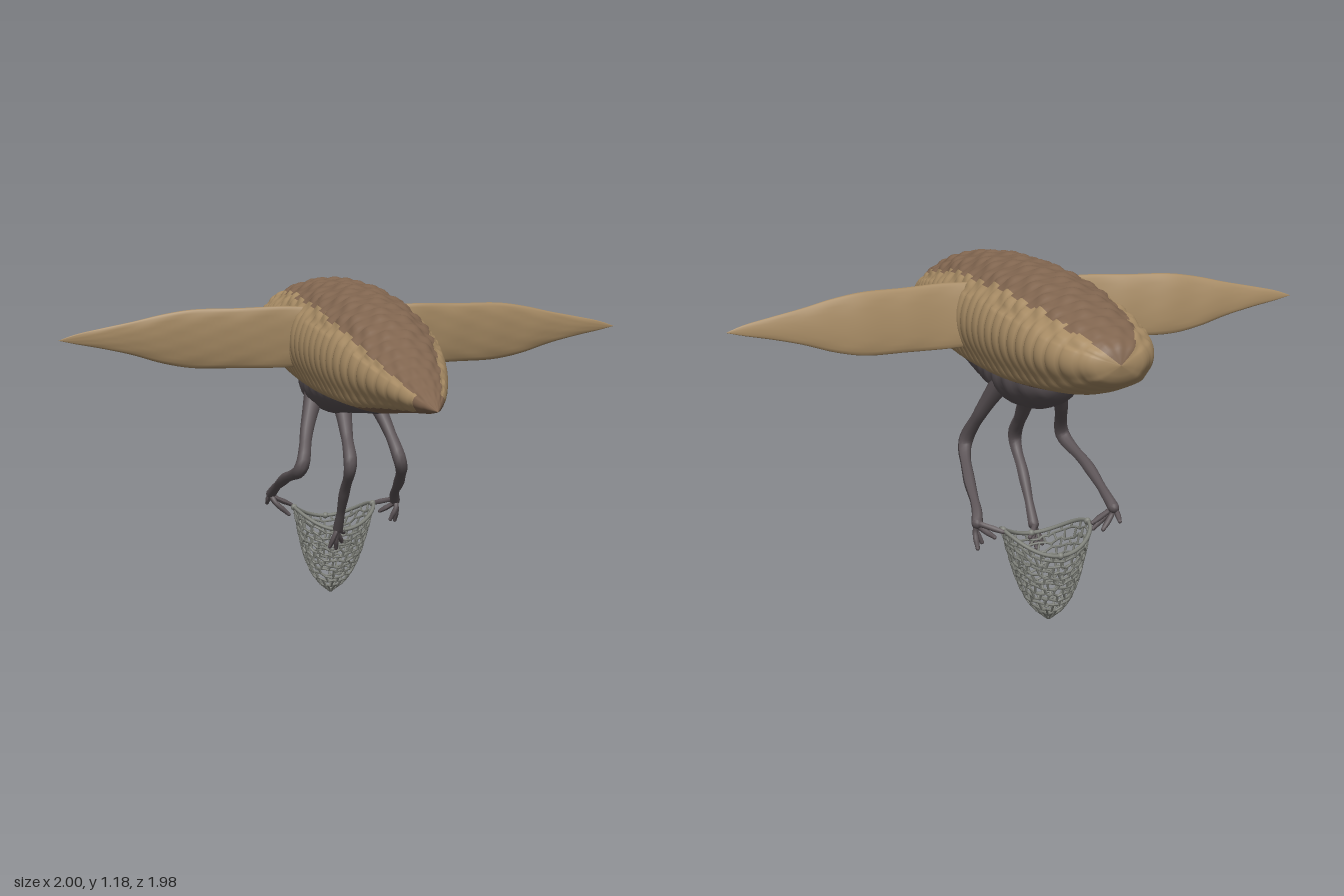
import * as THREE from 'three';
import { mergeGeometries } from 'three/addons/utils/BufferGeometryUtils.js';

const mat = (name, color, extra = {}) => Object.assign(new THREE.MeshStandardMaterial({ color, ...extra }), { name });
const V = (x, y, z) => new THREE.Vector3(x, y, z);

// Smooth table lookup: rows of [position, ...values], positions ascending
function table(rows) {
  const n = rows[0].length - 1;
  const interp = new THREE.CubicInterpolant(rows.map(r => r[0]), rows.flatMap(r => r.slice(1)), n, new Array(n));
  return p => Array.from(interp.evaluate(p));
}

// Skin closed rings of points; pick(i, j) chooses a material index per quad
function loft(rings, flip = false, pick = () => 0) {
  const n = rings[0].length, faces = [[], []];
  for (let i = 0; i < rings.length - 1; i++) {
    for (let j = 0; j < n; j++) {
      const a = i * n + j, c = i * n + (j + 1) % n, b = a + n, d = c + n;
      faces[pick(i, j)].push(...(flip ? [a, c, b, b, c, d] : [a, b, c, b, d, c]));
    }
  }
  const geo = new THREE.BufferGeometry().setFromPoints(rings.flat());
  geo.setIndex([...faces[0], ...faces[1]]);
  geo.addGroup(0, faces[0].length, 0);
  geo.addGroup(faces[0].length, faces[1].length, 1);
  geo.computeVertexNormals();
  return geo;
}

// Tube through points whose radius follows a list, with rounded ends
function limb(points, radii, steps = 24, sides = 10) {
  const curve = new THREE.CatmullRomCurve3(points, false, 'centripetal');
  const geo = new THREE.TubeGeometry(curve, steps, 1, sides, false);
  const pos = geo.attributes.position, p = V(0, 0, 0);
  for (let i = 0; i <= steps; i++) {
    const u = i / steps, c = curve.getPointAt(u), k = u * (radii.length - 1);
    const a = Math.min(Math.floor(k), radii.length - 2);
    const r = THREE.MathUtils.lerp(radii[a], radii[a + 1], k - a);
    for (let j = 0; j <= sides; j++) {
      const id = i * (sides + 1) + j;
      p.fromBufferAttribute(pos, id).sub(c).multiplyScalar(r).add(c);
      pos.setXYZ(id, p.x, p.y, p.z);
    }
  }
  geo.computeVertexNormals();
  const ball = (c, r) => new THREE.SphereGeometry(r, 10, 8).translate(c.x, c.y, c.z);
  return mergeGeometries([geo, ball(points[0], radii[0]), ball(points.at(-1), radii.at(-1))]);
}

// Armoured body: 33 plated segments, pitted on the back
function bodyGeometry() {
  // z, centre height, half height, half width
  const shape = table([
    [-0.99, 0.98, 0, 0], [-0.98, 0.98, 0.035, 0.055], [-0.95, 0.98, 0.065, 0.1], [-0.9, 0.98, 0.087, 0.138],
    [-0.8, 0.98, 0.118, 0.175], [-0.6, 0.983, 0.155, 0.2], [-0.4, 0.982, 0.18, 0.213], [-0.2, 0.979, 0.19, 0.213],
    [0, 0.975, 0.19, 0.208], [0.2, 0.968, 0.178, 0.195], [0.4, 0.955, 0.153, 0.173], [0.6, 0.935, 0.105, 0.135],
    [0.8, 0.908, 0.054, 0.078], [0.9, 0.893, 0.028, 0.04], [0.985, 0.88, 0, 0],
  ]);
  const segments = 33, per = 7, sides = 96, rings = [];
  for (let i = 0; i <= segments * per; i++) {
    const t = i / (segments * per), z = 0.985 - 1.975 * t;
    const [cy, hy, hx] = shape(z), f = (i % per) / per, s = Math.floor(i / per);
    const fade = THREE.MathUtils.clamp(hy / 0.14, 0, 1);
    rings.push(Array.from({ length: sides }, (_, j) => {
      const th = j / sides * Math.PI * 2, up = Math.sin(th);
      const bulge = Math.pow(Math.sin(Math.PI * f), 0.6);
      const stagger = Math.sin(th * 13 + (s % 2) * Math.PI + Math.sin(s * 2.3));
      let d = 0.011 * bulge;
      if (up > 0.45) d = 0.005 * bulge + 0.006 * stagger * Math.sin(Math.PI * f);
      else d += 0.01 * bulge * Math.exp(-Math.pow((up + 0.72) / 0.13, 2));
      d *= fade;
      return V(Math.cos(th) * (Math.max(hx, 0) + d), cy + up * (Math.max(hy, 0) + d), z);
    }));
  }
  const pick = (i, j) => {
    const t = i / (segments * per), up = Math.sin((j + 0.5) / sides * Math.PI * 2);
    const edge = 0.6 + 0.2 * t * t + 0.05 * (Math.floor(i / per) % 2);
    return up > edge || (up < -0.84 && t < 0.8) || t < 0.05 ? 1 : 0;
  };
  return loft(rings, false, pick);
}

// Upright paddle wing; side is +1 or -1
function wingGeometry(side) {
  // x, centre height, half height, centre z, half thickness
  const shape = table([
    [0.15, 0.99, 0.105, -0.112, 0.02], [0.25, 0.99, 0.108, -0.115, 0.015], [0.4, 0.988, 0.105, -0.13, 0.018],
    [0.55, 0.988, 0.102, -0.147, 0.018], [0.65, 0.99, 0.085, -0.152, 0.016], [0.75, 0.994, 0.058, -0.157, 0.012],
    [0.85, 0.996, 0.036, -0.161, 0.008], [0.95, 0.995, 0.015, -0.164, 0.004], [1, 0.992, 0, -0.165, 0],
  ]);
  const rings = [];
  for (let i = 0; i <= 48; i++) {
    const x = 0.15 + 0.85 * i / 48, [cy, hy, cz, hz] = shape(x);
    rings.push(Array.from({ length: 24 }, (_, j) => {
      const th = j / 24 * Math.PI * 2, up = Math.sin(th);
      const ripple = 0.12 * Math.sin(x * 38 + up * 5) * Math.cos(up * 6);
      return V(side * x, cy + up * hy, cz + Math.cos(th) * hz * (1 + ripple) + up * hy * 0.14);
    }));
  }
  return loft(rings, side < 0);
}

// Soft wrinkled belly under the body
function bellyGeometry() {
  // z, half width, depth below y = 0.82
  const shape = table([
    [-0.52, 0, 0], [-0.49, 0.06, 0.05], [-0.43, 0.1, 0.085], [-0.33, 0.135, 0.115], [-0.22, 0.145, 0.118],
    [-0.1, 0.14, 0.098], [0.05, 0.125, 0.078], [0.2, 0.11, 0.056], [0.35, 0.08, 0.036], [0.46, 0, 0],
  ]);
  const rings = [];
  for (let i = 0; i <= 60; i++) {
    const z = 0.46 - 0.98 * i / 60, [hx, hy] = shape(z);
    const wrinkle = 1 + 0.03 * Math.sin(i * 1.3);
    rings.push(Array.from({ length: 32 }, (_, j) => {
      const th = j / 32 * Math.PI * 2;
      return V(Math.cos(th) * hx * wrinkle, 0.82 + Math.sin(th) * hy * wrinkle, z);
    }));
  }
  return loft(rings);
}

// Net basket: irregular honeycomb of strands hung from a saddle-shaped rim
function basketGeometry() {
  let seed = 7;
  const rand = () => (seed = (seed * 16807) % 2147483647) / 2147483647 - 0.5;
  const cols = 44, rows = 12, coarse = 8, parts = [], nodes = [];
  const rimY = a => 0.262 + 0.065 * Math.cos(a) ** 2;
  const radius = table([[0, 0.012], [0.06, 0.035], [0.2, 0.068], [0.45, 0.1], [0.7, 0.12], [1, 0.14]]);
  const at = (a, h) => {
    const r = radius(h)[0];
    return V(0.012 * h + Math.cos(a) * r * 1.06, 0.012 + (rimY(a) - 0.012) * h, -0.415 + Math.sin(a) * r * 0.96);
  };
  for (let j = 0; j <= rows; j++) {
    const h = 1 - j / rows, jitter = j > 0 && j < rows ? 1 : 0;
    nodes.push(Array.from({ length: cols }, (_, i) =>
      at((i + jitter * rand() * 0.7) / cols * Math.PI * 2, h + jitter * rand() * 0.05)));
  }
  const strand = (p, q) => {
    const dir = q.clone().sub(p), len = dir.length();
    const g = new THREE.CylinderGeometry(0.0042, 0.0042, len + 0.004, 5);
    g.applyQuaternion(new THREE.Quaternion().setFromUnitVectors(V(0, 1, 0), dir.normalize()));
    const m = p.clone().add(q).multiplyScalar(0.5);
    parts.push(g.translate(m.x, m.y, m.z));
  };
  for (let j = 0; j <= rows; j++) {
    const step = j > coarse ? 2 : 1, below = j >= coarse ? 2 : 1;
    for (let i = 0; i < cols; i += step) if (j) strand(nodes[j][i], nodes[j][(i + step) % cols]);
    for (let i = 0; i < cols; i += below) {
      if (j < rows && (i / below + j) % 2 === 0) strand(nodes[j][i], nodes[j + 1][i]);
    }
  }
  const rim = new THREE.CatmullRomCurve3(nodes[0], true);
  parts.push(new THREE.TubeGeometry(rim, 88, 0.007, 7, true));
  for (let k = 0; k < 4; k++) {
    const p = at(k * Math.PI / 2, 1);
    parts.push(new THREE.SphereGeometry(0.012, 10, 8).translate(p.x, p.y, p.z));
  }
  parts.push(new THREE.SphereGeometry(0.014, 10, 8).translate(0, 0.014, -0.415));
  return mergeGeometries(parts);
}

export function createModel() {
  const tan = mat('tan hide', 0xa88c65), brown = mat('brown plates', 0x80654f);
  const grey = mat('grey skin', 0x5c5457), net = mat('net grey', 0x80827b);
  const model = new THREE.Group();
  const add = (parent, name, geo, material) => {
    const mesh = new THREE.Mesh(geo, material);
    mesh.name = name;
    parent.add(mesh);
  };

  add(model, 'body', bodyGeometry(), [tan, brown]);
  add(model, 'leftWing', wingGeometry(1), tan);
  add(model, 'rightWing', wingGeometry(-1), tan);
  add(model, 'belly', bellyGeometry(), grey);
  add(model, 'basket', basketGeometry(), net);

  // Three arms: hip, knee, wrist, palm, then fingertips
  const arms = [
    { name: 'leftArm', path: [[0.1, 0.78, -0.23], [0.145, 0.66, -0.15], [0.175, 0.54, -0.075], [0.205, 0.45, -0.2], [0.225, 0.375, -0.34]],
      palm: [0.235, 0.345, -0.37], tips: [[0.24, 0.265, -0.39], [0.215, 0.275, -0.36], [0.185, 0.3, -0.4], [0.165, 0.325, -0.43]] },
    { name: 'rightArm', path: [[-0.1, 0.78, -0.23], [-0.145, 0.66, -0.15], [-0.18, 0.54, -0.075], [-0.205, 0.47, -0.24], [-0.21, 0.4, -0.41]],
      palm: [-0.215, 0.375, -0.45], tips: [[-0.155, 0.3, -0.42], [-0.17, 0.31, -0.47], [-0.14, 0.33, -0.45], [-0.225, 0.335, -0.48]] },
    { name: 'middleArm', path: [[0, 0.74, -0.23], [-0.005, 0.64, -0.14], [-0.01, 0.54, -0.06], [-0.012, 0.43, -0.14], [-0.012, 0.31, -0.22]],
      palm: [-0.012, 0.28, -0.24], tips: [[-0.04, 0.21, -0.25], [-0.015, 0.2, -0.26], [0.01, 0.22, -0.275], [0.02, 0.25, -0.29]] },
  ];
  for (const { name, path, palm, tips } of arms) {
    const arm = new THREE.Group();
    arm.name = name;
    const p = V(...palm);
    add(arm, 'limb', limb([...path.map(c => V(...c)), p], [0.036, 0.027, 0.021, 0.025, 0.018, 0.02, 0.015, 0.019], 36), grey);
    tips.forEach(c => {
      const tip = V(...c), knuckle = p.clone().lerp(tip, 0.45);
      knuckle.add(V((p.x + Math.sign(p.x) * 0.01 - knuckle.x) * 0.5, 0.008, 0.01));
      add(arm, 'finger', limb([p, knuckle, tip], [0.011, 0.009, 0.01, 0.007], 12, 7), grey);
    });
    model.add(arm);
  }
  return model;
}
